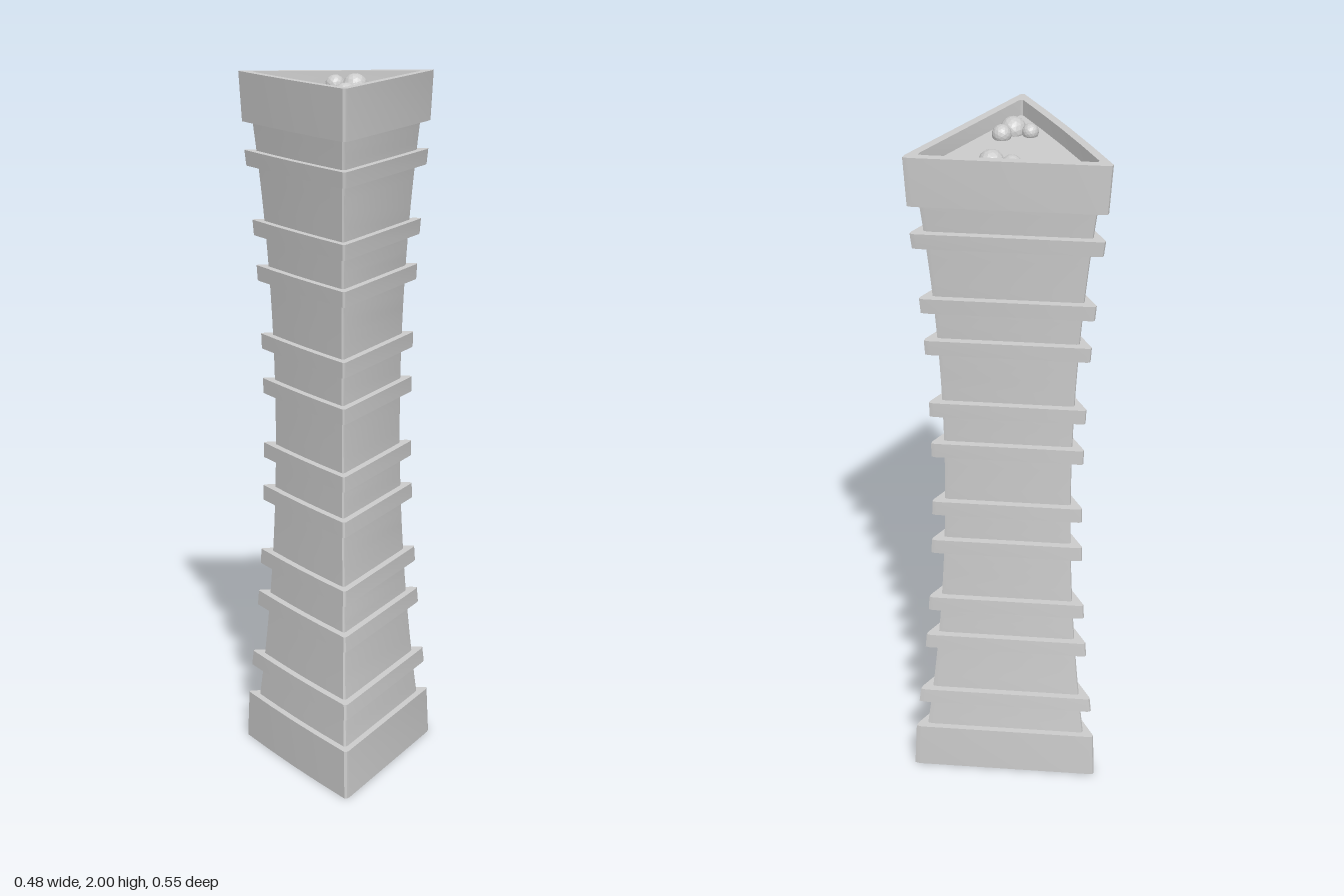
import * as THREE from 'three';
import { toCreasedNormals } from 'three/addons/utils/BufferGeometryUtils.js';

const CX = -0.08; // axis of the tower: centroid of the triangle
const FLOOR = 1.955;

// Unit triangular section with clipped corners, pointing to +x (half, mirrored in z)
const half = [[1, 0], [0.965, 0.035], [-0.445, 0.852], [-0.472, 0.86], [-0.492, 0.845], [-0.505, 0.42], [-0.51, 0]];
const section = [...half, ...half.slice(1, -1).reverse().map(([x, z]) => [x, -z])];

// The shaft narrows toward mid height
const wallRadius = (y) => 0.21 + 0.088 * (y - 1) ** 2;

// Loft the section through a list of [radius, y] rings
function loft(rings) {
  const n = section.length;
  const pos = [];
  const index = [];
  for (const [r, y] of rings) for (const [x, z] of section) pos.push(CX + x * r, y, z * r);
  for (let i = 0; i < rings.length - 1; i++) {
    for (let j = 0; j < n; j++) {
      const a = i * n + j, b = i * n + (j + 1) % n;
      index.push(a, b, a + n, b, b + n, a + n);
    }
  }
  const g = new THREE.BufferGeometry();
  g.setAttribute('position', new THREE.Float32BufferAttribute(pos, 3));
  g.setIndex(index);
  return toCreasedNormals(g, 0.5);
}

export function createModel() {
  const group = new THREE.Group();
  const shellMat = new THREE.MeshStandardMaterial({ color: 0xcccccc, side: THREE.DoubleSide });
  const ballMat = new THREE.MeshStandardMaterial({ color: 0xcccccc, flatShading: true });
  const add = (name, geometry, material) => {
    const mesh = new THREE.Mesh(geometry, material);
    mesh.name = name;
    group.add(mesh);
    return mesh;
  };

  // Top cap with its rim and the recessed floor
  add('topCap', loft([[0.0005, FLOOR], [0.275, FLOOR], [0.275, 2], [0.32, 2], [0.31, 1.86], [wallRadius(1.86), 1.86]]), shellMat);

  // Shaft with projecting bands, listed as the top of each band
  const bandTops = [1.78, 1.583, 1.453, 1.255, 1.123, 0.93, 0.8, 0.602, 0.47, 0.275];
  const bandHeight = 0.044;
  const rings = [];
  let y = 1.86;
  const wallTo = (end) => {
    for (let i = 0; i <= 4; i++) {
      const h = y + (end - y) * i / 4;
      rings.push([wallRadius(h), h]);
    }
  };
  for (const top of bandTops) {
    wallTo(top);
    y = top - bandHeight;
    rings.push([wallRadius(top) + 0.04, top], [wallRadius(y) + 0.04, y]);
  }
  wallTo(0.14);
  add('bandedShaft', loft(rings), shellMat);

  // Foot, open underneath
  add('foot', loft([[wallRadius(0.14), 0.14], [0.313, 0.14], [0.32, 0]]), shellMat);

  // Two clusters of faceted balls in the recess: x, y, z, radius
  const balls = [
    [0.008, 1.963, -0.048, 0.036], [-0.031, 1.966, -0.091, 0.028],
    [-0.141, 1.963, 0.136, 0.036], [-0.095, 1.966, 0.111, 0.027], [-0.173, 1.966, 0.095, 0.023],
  ];
  balls.forEach(([x, by, z, r], i) => {
    const ball = add('ball' + (i + 1), new THREE.IcosahedronGeometry(r, 2), ballMat);
    ball.position.set(x, by, z);
    ball.rotation.set(i, i * 2, 0);
  });
  return group;
}
